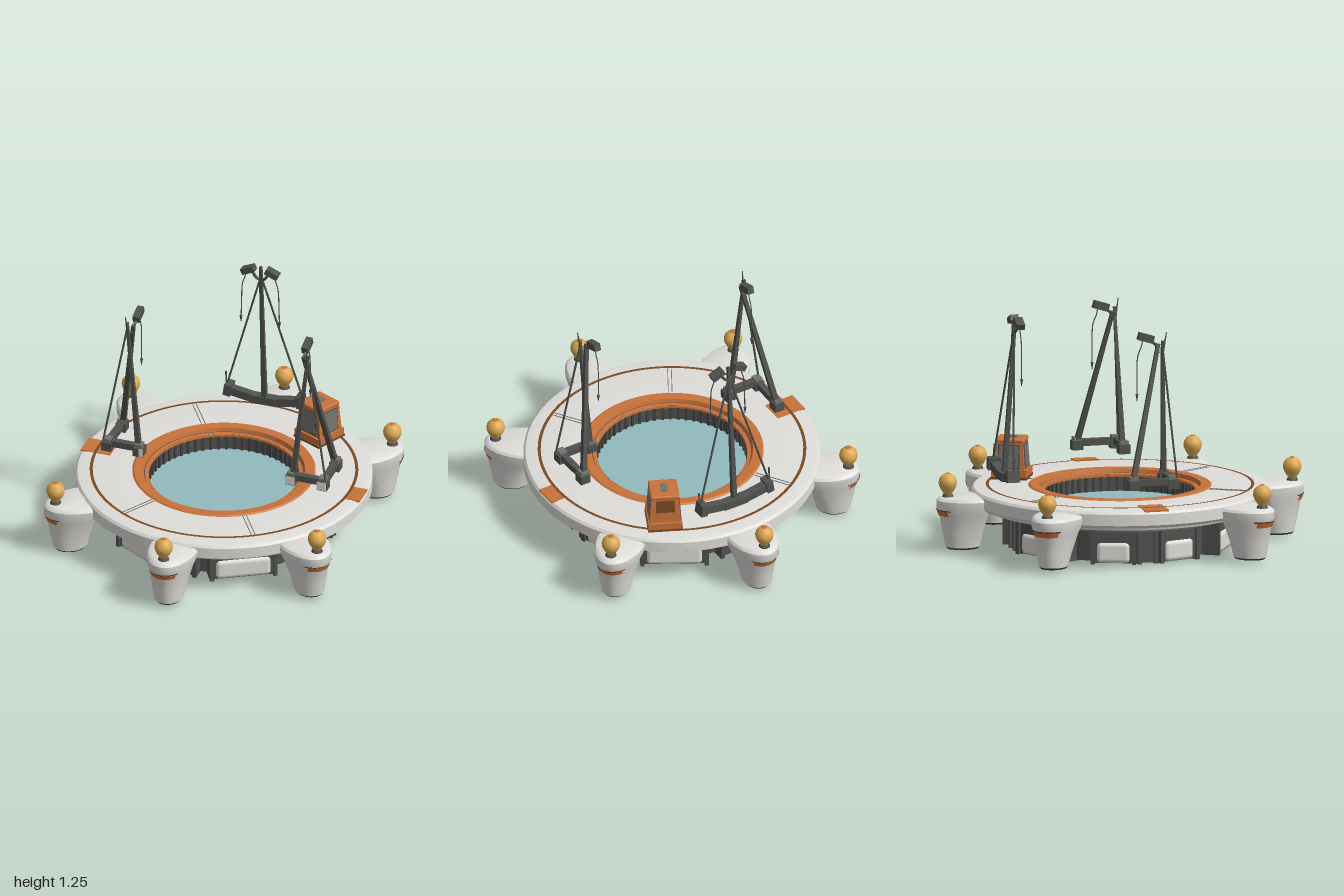
import * as THREE from 'three';
import { toCreasedNormals } from 'three/addons/utils/BufferGeometryUtils.js';
import { RoundedBoxGeometry } from 'three/addons/geometries/RoundedBoxGeometry.js';

const mat = (name, color, side = THREE.FrontSide) => {
  const m = new THREE.MeshStandardMaterial({ color, side });
  m.name = name;
  return m;
};
const V = (x, y, z) => new THREE.Vector3(x, y, z);

export function createModel() {
  const white = mat('hull white', 0xdfddd9);
  const orange = mat('trim orange', 0xc8723a, THREE.DoubleSide);
  const brown = mat('groove brown', 0x7a4a22, THREE.DoubleSide);
  const dark = mat('dark steel', 0x50524f, THREE.DoubleSide);
  const black = mat('underside black', 0x434442);
  const water = mat('water teal', 0x91babe);
  const amber = mat('lamp amber', 0xdba852);
  const grey = mat('window grey', 0x73746f, THREE.DoubleSide);

  const root = new THREE.Group();
  root.name = 'floatingPlatform';
  const add = (name, geo, m, parent = root, p = [0, 0, 0], r = [0, 0, 0]) => {
    const mesh = new THREE.Mesh(geo, m);
    mesh.name = name;
    mesh.position.set(...p);
    mesh.rotation.set(...r);
    parent.add(mesh);
    return mesh;
  };
  const group = (name, parent = root) => {
    const g = new THREE.Group();
    g.name = name;
    parent.add(g);
    return g;
  };
  const box = (x, y, z) => new THREE.BoxGeometry(x, y, z);
  const lathe = (pts, n = 96) =>
    toCreasedNormals(new THREE.LatheGeometry(pts.map(p => new THREE.Vector2(...p)), n), 0.3);
  // bar between two points, thickness t at a and t2 at b
  const bar = (name, a, b, t, parent, t2 = t, sides = 4) => {
    const geo = new THREE.CylinderGeometry(t2 * 0.7, t * 0.7, a.distanceTo(b), sides);
    if (sides === 4) geo.rotateY(Math.PI / 4);
    const mesh = add(name, sides === 4 ? toCreasedNormals(geo, 0.5) : geo, dark, parent);
    mesh.position.copy(a).lerp(b, 0.5);
    mesh.quaternion.setFromUnitVectors(V(0, 1, 0), b.clone().sub(a).normalize());
  };
  const tube = (name, pts, r, parent) =>
    add(name, new THREE.TubeGeometry(new THREE.CatmullRomCurve3(pts), 16, r, 6), dark, parent);

  // main ring deck
  add('deckRing', lathe([[0.6, 0.205], [0.655, 0.205], [0.66, 0.215], [0.715, 0.215], [0.72, 0.23], [0.765, 0.235],
    [0.786, 0.252], [0.786, 0.312], [0.775, 0.325], [0.745, 0.33], [0.48, 0.33]]), white);
  add('deckUnderside', lathe([[0.53, 0.185], [0.61, 0.185], [0.615, 0.206]]), grey);
  add('deckGroove', new THREE.RingGeometry(0.694, 0.71, 96), brown, root, [0, 0.3345, 0], [-Math.PI / 2, 0, 0]);
  add('innerRim', lathe([[0.398, 0.295], [0.398, 0.308], [0.422, 0.312], [0.428, 0.334], [0.475, 0.337], [0.485, 0.33]]), orange);
  add('rimSeam', new THREE.RingGeometry(0.418, 0.424, 96), dark, root, [0, 0.3135, 0], [-Math.PI / 2, 0, 0]);
  for (const a of [57, 120, 237, 303]) {
    const t = a * Math.PI / 180;
    for (const d of [-0.008, 0.012])
      add('deckSeam', box(0.2, 0.003, 0.004), grey, root,
        [Math.cos(t) * 0.59 - Math.sin(t) * d, 0.331, Math.sin(t) * 0.59 + Math.cos(t) * d], [0, -t, 0]);
  }
  // orange side gates set in the deck
  add('gateLeft', box(0.09, 0.009, 0.13), orange, root, [0.738, 0.3285, 0]);
  add('gateRight', box(0.165, 0.009, 0.13), orange, root, [-0.7, 0.3285, 0]);

  // pool
  add('poolWall', new THREE.CylinderGeometry(0.405, 0.405, 0.12, 72, 1, true), dark, root, [0, 0.25, 0]);
  for (let i = 0; i < 60; i++) {
    const t = i / 60 * Math.PI * 2;
    add('poolRib', box(0.01, 0.08, 0.014), black, root, [Math.cos(t) * 0.401, 0.258, Math.sin(t) * 0.401], [0, -t, 0]);
  }
  add('water', new THREE.CircleGeometry(0.404, 72), water, root, [0, 0.22, 0], [-Math.PI / 2, 0, 0]);

  // lower hull
  add('lowerHull', lathe([[0.53, 0.015], [0.535, 0.2]], 60), dark);
  add('hullRim', lathe([[0.46, 0.05], [0.475, 0.015], [0.531, 0.015]], 60), grey);
  add('bottomDisc', new THREE.CircleGeometry(0.465, 60), black, root, [0, 0.045, 0], [Math.PI / 2, 0, 0]);
  const pod = (deg, w, panel) => {
    const g = group('hullPod');
    g.rotation.y = deg * Math.PI / 180;
    add('podFrame', box(w + 0.05, 0.17, 0.1), dark, g, [0, 0.1, 0.53]);
    for (const s of [-1, 1]) add('podPost', box(0.022, 0.18, 0.12), dark, g, [s * (w / 2 + 0.02), 0.1, 0.535]);
    if (panel) add('podPanel', new RoundedBoxGeometry(w, 0.115, 0.06, 3, 0.026), white, g, [0, 0.07, 0.562]);
  };
  for (const a of [30, 150, 210, 330]) pod(a, 0.3, true);
  for (const a of [72, 108, 252, 288]) pod(a, 0.18, true);
  for (const a of [0, 90, 180, 270]) pod(a, 0.05, false);

  // float legs: stacked egg-shaped sections [y, halfWidth, inner, middle, outer]
  const section = ([y, w, i, c, o], a) => {
    const s = Math.sin(a);
    return [w * Math.cos(a), y, c + s * (s > 0 ? o - c : c - i)];
  };
  const loft = (levels, a0 = 0, a1 = Math.PI * 2, n = 40) => {
    const pos = [], idx = [];
    levels.forEach((l, k) => {
      for (let j = 0; j <= n; j++) pos.push(...section(l, a0 + (a1 - a0) * j / n));
      if (k) for (let j = 0; j < n; j++) {
        const p = (k - 1) * (n + 1) + j, q = p + n + 1;
        idx.push(p, q, p + 1, p + 1, q, q + 1);
      }
    });
    const g = new THREE.BufferGeometry();
    g.setAttribute('position', new THREE.Float32BufferAttribute(pos, 3));
    g.setIndex(idx);
    return toCreasedNormals(g, 0.6);
  };
  const legLevels = [[0.04, 0.076, 0.765, 0.86, 0.95], [0.12, 0.092, 0.75, 0.84, 0.967], [0.22, 0.115, 0.72, 0.8, 0.985],
    [0.25, 0.127, 0.71, 0.79, 1.0], [0.29, 0.131, 0.7, 0.78, 1.0], [0.303, 0.122, 0.7, 0.78, 0.99],
    [0.309, 0.105, 0.71, 0.78, 0.975], [0.314, 0.0, 0.78, 0.78, 0.78]];
  const footLevels = [[0.03, 0, 0.86, 0.86, 0.86], [0.03, 0.068, 0.772, 0.86, 0.942], [0.041, 0.076, 0.765, 0.86, 0.95]];
  const bulbPts = [[0, 0.314], [0.02, 0.314], [0.023, 0.328], [0.037, 0.348], [0.047, 0.37], [0.049, 0.386],
    [0.045, 0.406], [0.03, 0.424], [0.014, 0.432], [0, 0.433]];
  const corner = Math.atan2(0.735, 0.587);
  for (const a of [0, Math.PI, corner, -corner, Math.PI - corner, Math.PI + corner]) {
    const g = group('floatLeg');
    g.rotation.y = a;
    add('legBody', loft(legLevels), white, g);
    add('legFoot', loft(footLevels), black, g);
    add('legBand', loft([[0.21, 0.117, 0.72, 0.8, 0.988], [0.236, 0.126, 0.71, 0.79, 0.999]], 0.95, 2.19, 16), orange, g);
    add('legBandSeam', loft([[0.236, 0.125, 0.71, 0.79, 0.998], [0.244, 0.128, 0.71, 0.79, 1.002]], 0.85, 2.29, 16), brown, g);
    add('lampCollar', new THREE.CylinderGeometry(0.025, 0.034, 0.022, 24), dark, g, [0, 0.312, 0.94]);
    add('lampBulb', new THREE.LatheGeometry(bulbPts.map(p => new THREE.Vector2(...p)), 28), amber, g, [0, 0, 0.94]);
    add('lampCap', new THREE.CylinderGeometry(0.01, 0.016, 0.004, 20), orange, g, [0, 0.4335, 0.94]);
  }

  // control cab
  const cab = group('controlCab');
  cab.position.set(0.355, 0.33, -0.5);
  cab.rotation.y = -0.44;
  add('cabBase', box(0.18, 0.05, 0.19), orange, cab, [0, 0.025, 0]);
  add('cabFoot', box(0.186, 0.012, 0.196), brown, cab, [0, 0.006, 0]);
  const body = new THREE.CylinderGeometry(0.104, 0.118, 0.15, 4).rotateY(Math.PI / 4);
  add('cabBody', toCreasedNormals(body, 0.4), orange, cab, [0, 0.125, 0]);
  add('cabRoof', new RoundedBoxGeometry(0.155, 0.022, 0.155, 2, 0.009), orange, cab, [0, 0.205, 0]);
  add('roofHatch', box(0.035, 0.012, 0.06), grey, cab, [0, 0.219, 0]);
  for (let i = 0; i < 4; i++) {
    const side = group('cabSide', cab);
    side.rotation.y = i * Math.PI / 2;
    if (i === 2) {
      add('rearWindow', box(0.1, 0.075, 0.006), brown, side, [0, 0.15, 0.0767], [-0.066, 0, 0]);
    } else {
      add('windowFrame', box(0.115, 0.13, 0.006), dark, side, [0, 0.122, 0.0785], [-0.066, 0, 0]);
      add('windowPane', box(0.102, 0.117, 0.006), grey, side, [0, 0.122, 0.0805], [-0.066, 0, 0]);
    }
  }

  // hanging rope with hook
  const rope = (pts, parent) => {
    tube('rope', pts, 0.003, parent);
    const e = pts[pts.length - 1];
    add('hook', new THREE.ConeGeometry(0.008, 0.045, 6), dark, parent, [e.x, e.y, e.z], [Math.PI, 0, 0]);
  };

  // rear crane: bowed base, single mast, twin lamp arms
  const rear = group('rearCrane');
  bar('mast', V(0, 0.4, -0.632), V(0, 1.258, -0.572), 0.028, rear, 0.016);
  add('baseMiddle', box(0.14, 0.045, 0.05), dark, rear, [0, 0.408, -0.637]);
  for (const s of [-1, 1]) {
    bar('baseBeam', V(s * 0.06, 0.408, -0.637), V(s * 0.2, 0.432, -0.637), 0.045, rear);
    add('baseFoot', box(0.04, 0.065, 0.068), dark, rear, [s * 0.202, 0.438, -0.637], [0, 0, s * 0.15]);
    bar('stayCable', V(s * 0.212, 0.46, -0.637), V(0, 1.2, -0.577), 0.008, rear, 0.008, 6);
    bar('stayPost', V(s * 0.216, 0.45, -0.637), V(s * 0.216, 0.54, -0.63), 0.007, rear);
    tube('lampArm', [V(0, 1.175, -0.58), V(s * 0.025, 1.19, -0.572), V(s * 0.045, 1.225, -0.567)], 0.008, rear);
    add('lampHead', box(0.075, 0.032, 0.045), dark, rear, [s * 0.067, 1.234, -0.567], [0, 0, -s * 0.42]);
    rope([V(s * 0.08, 1.22, -0.567), V(s * 0.085, 1.19, -0.567), V(s * 0.1, 1.14, -0.565),
      V(s * 0.105, 1.03, -0.565), V(s * 0.108, 0.92, -0.565)], rear);
  }

  // side cranes: three feet, two leaning masts, one lamp head
  for (const s of [-1, 1]) {
    const g = group(s > 0 ? 'leftCrane' : 'rightCrane');
    const P = (x, y, z) => V(s * x, y, z);
    for (const [x, z] of [[0.428, 0.13], [0.605, 0.13], [0.6, -0.08]]) {
      add('craneFoot', box(0.055, 0.05, 0.06), dark, g, [s * x, 0.438, z]);
      add('footCap', box(0.042, 0.02, 0.046), grey, g, [s * x, 0.472, z]);
    }
    // pale cover plates on the front feet
    add('footPlate', box(s > 0 ? 0.05 : 0.02, 0.045, 0.006), white, g, [s > 0 ? 0.428 : -0.411, 0.44, 0.161]);
    if (s > 0) add('footPlate', box(0.05, 0.045, 0.006), white, g, [0.605, 0.44, 0.161]);
    bar('baseBeam', P(0.428, 0.455, 0.13), P(0.605, 0.455, 0.13), 0.036, g);
    bar('sideBeam', P(0.605, 0.45, 0.13), P(0.6, 0.45, -0.08), 0.036, g);
    bar('leaningMast', P(0.595, 0.46, -0.08), P(0.478, 1.17, 0.085), 0.029, g, 0.02);
    bar('uprightMast', P(0.435, 0.46, 0.125), P(0.508, 1.19, 0.1), 0.029, g, 0.014);
    bar('mastSpike', P(0.5, 1.1, 0.1), P(0.51, 1.235, 0.122), 0.012, g, 0.004);
    bar('stayCable', P(0.625, 0.47, 0.15), P(0.505, 1.17, 0.1), 0.008, g, 0.008, 6);
    tube('lampArm', [P(0.485, 1.12, 0.085), P(0.478, 1.165, 0.07), P(0.475, 1.19, 0.035)], 0.008, g);
    add('lampHead', box(0.036, 0.04, 0.085), dark, g, [s * 0.474, 1.203, 0.018], [0.3, 0, 0]);
    rope([P(0.474, 1.19, 0), P(0.474, 1.16, -0.005), P(0.474, 1.11, -0.025), P(0.474, 1.0, -0.03), P(0.474, 0.88, -0.03)], g);
  }
  return root;
}
